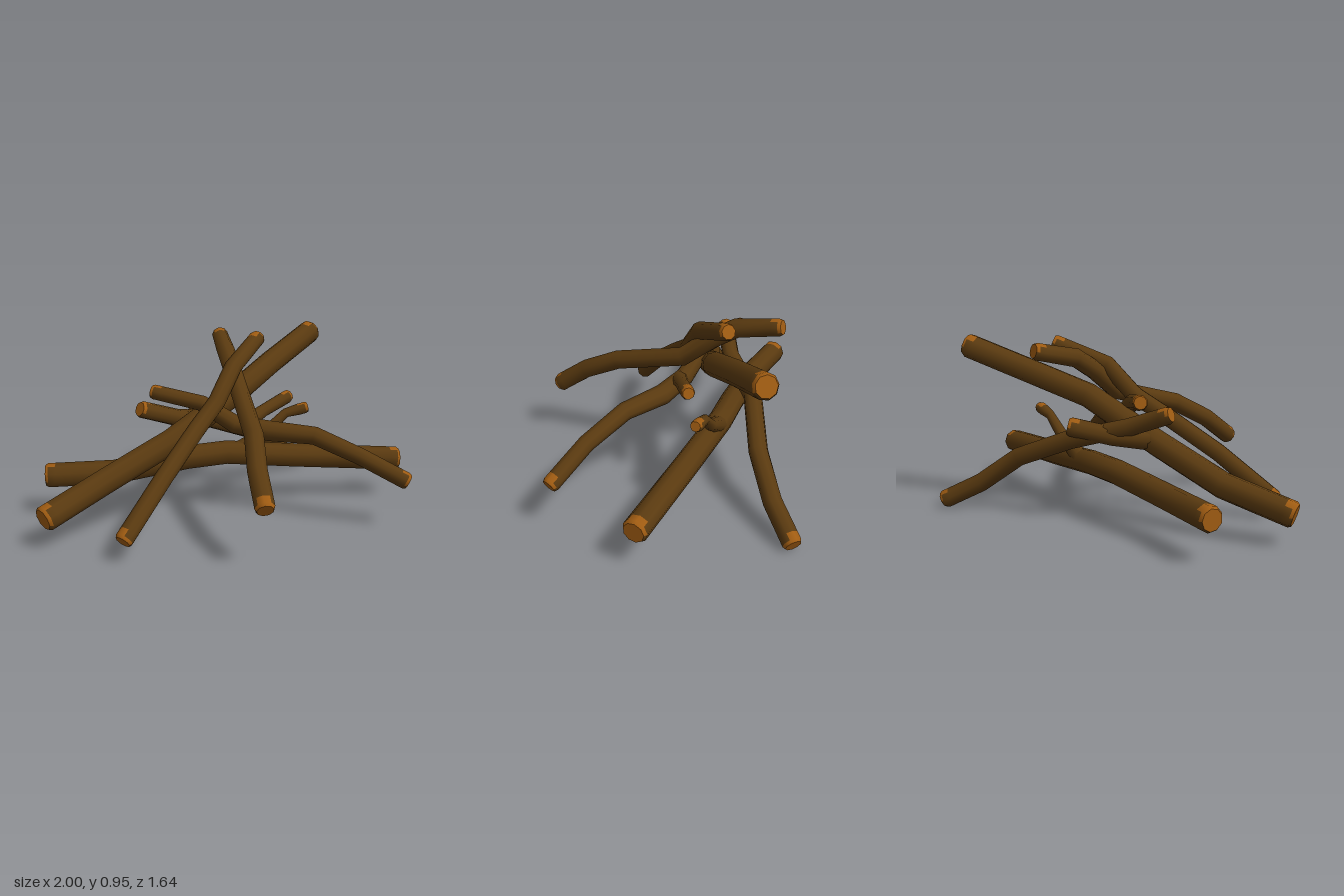
import * as THREE from 'three';

const SIDES = 9;

const bark = new THREE.MeshStandardMaterial({ color: 0x5a3a10 });
bark.name = 'bark';
const cutWood = new THREE.MeshStandardMaterial({ color: 0xa05c12 });
cutWood.name = 'cutWood';

// Inserts collar and bevel rings close to one end; `list` begins at that end.
function dressEnd(list) {
  const [end, next] = list;
  const dir = next.p.clone().sub(end.p).normalize();
  const at = (d, scale) => ({ p: end.p.clone().addScaledVector(dir, d), r: end.r * scale });
  return [at(0, 0.84), at(0.016, 1), at(0.055, 1), ...list.slice(1)];
}

// A kinked log: rings swept along points of [x, y, z, radius], with cut ends.
function makeLog(name, points, openStart = false) {
  let rings = points.map(([x, y, z, r]) => ({ p: new THREE.Vector3(x, y, z), r }));
  if (!openStart) rings = dressEnd(rings);
  rings = dressEnd(rings.reverse()).reverse();

  const last = rings.length - 1;
  const up = new THREE.Vector3(0, 1, 0);
  const position = [];
  const barkFaces = [];
  const cutFaces = [];
  const ringPoints = [];

  // Ring vertices, square to the averaged direction of the neighbouring segments
  rings.forEach(({ p, r }, i) => {
    const t = new THREE.Vector3();
    if (i > 0) t.add(p.clone().sub(rings[i - 1].p).normalize());
    if (i < last) t.add(rings[i + 1].p.clone().sub(p).normalize());
    t.normalize();
    const n = up.clone().cross(t).normalize();
    const b = t.clone().cross(n);
    for (let j = 0; j < SIDES; j++) {
      const a = (j / SIDES) * Math.PI * 2;
      const v = p.clone().addScaledVector(n, r * Math.cos(a)).addScaledVector(b, r * Math.sin(a));
      position.push(v.x, v.y, v.z);
      ringPoints.push(v);
    }
  });

  // Side faces; bark is chipped off the upper part of each collar
  for (let i = 0; i < last; i++) {
    const fromEnd = Math.min(openStart ? 9 : i, last - 1 - i);
    for (let j = 0; j < SIDES; j++) {
      const k = (j + 1) % SIDES;
      const a = i * SIDES + j, b = i * SIDES + k;
      const chipped = (fromEnd === 0 && j < 5) || (fromEnd === 1 && (j === 1 || j === 2));
      (chipped ? cutFaces : barkFaces).push(a, b, a + SIDES, b, b + SIDES, a + SIDES);
    }
  }

  // Cut end discs with their own vertices
  const addCap = (i, atEnd) => {
    const base = position.length / 3;
    const c = rings[i].p;
    position.push(c.x, c.y, c.z);
    for (let j = 0; j < SIDES; j++) position.push(...ringPoints[i * SIDES + j].toArray());
    for (let j = 0; j < SIDES; j++) {
      const a = base + 1 + j, b = base + 1 + ((j + 1) % SIDES);
      cutFaces.push(base, atEnd ? a : b, atEnd ? b : a);
    }
  };
  if (!openStart) addCap(0, false);
  addCap(last, true);

  const geometry = new THREE.BufferGeometry();
  geometry.setAttribute('position', new THREE.Float32BufferAttribute(position, 3));
  geometry.setIndex([...barkFaces, ...cutFaces]);
  geometry.addGroup(0, barkFaces.length, 0);
  geometry.addGroup(barkFaces.length, cutFaces.length, 1);
  geometry.computeVertexNormals();
  const mesh = new THREE.Mesh(geometry, [bark, cutWood]);
  mesh.name = name;
  return mesh;
}

export function createModel() {
  const group = new THREE.Group();
  group.name = 'branchPile';

  group.add(
    // Thick logs
    makeLog('baseLog', [
      [-0.97, 0.23, -0.1, 0.066], [-0.6, 0.24, -0.085, 0.066], [-0.2, 0.29, -0.14, 0.066],
      [0.02, 0.3, -0.17, 0.066], [0.4, 0.27, -0.165, 0.066], [1, 0.23, -0.155, 0.066],
    ]),
    makeLog('slantedLog', [
      [-0.96, 0.17, 0.4, 0.068], [-0.66, 0.28, 0.19, 0.068], [-0.3, 0.44, 0.04, 0.068],
      [0.07, 0.65, -0.15, 0.066], [0.3, 0.765, -0.37, 0.066], [0.58, 0.895, -0.62, 0.066],
    ]),
    // Thinner logs
    makeLog('rearLog', [
      [-0.46, 0.615, 0.02, 0.045], [-0.26, 0.53, -0.1, 0.047], [-0.04, 0.45, -0.32, 0.05],
      [0.25, 0.32, -0.47, 0.05], [0.42, 0.16, -0.62, 0.05], [0.565, 0.05, -0.785, 0.05],
    ]),
    makeLog('lengthwiseLog', [
      [0.08, 0.32, 0.8, 0.05], [0.07, 0.45, 0.62, 0.05], [0.085, 0.56, 0.41, 0.05],
      [0.075, 0.66, 0.03, 0.05], [0.045, 0.78, -0.12, 0.05], [0.025, 0.86, -0.25, 0.05],
      [0.02, 0.91, -0.49, 0.045],
    ]),
    makeLog('crossingLog', [
      [-0.575, 0.12, 0.61, 0.047], [-0.36, 0.36, 0.39, 0.047], [-0.18, 0.54, 0.19, 0.047],
      [-0.06, 0.65, 0.06, 0.047], [0.04, 0.81, -0.05, 0.047], [0.21, 0.925, -0.28, 0.045],
    ]),
    makeLog('sideLog', [
      [-0.39, 0.675, -0.115, 0.04], [-0.13, 0.63, 0.0, 0.042], [0.04, 0.52, 0.04, 0.05],
      [0.22, 0.49, 0.085, 0.055], [0.44, 0.485, 0.185, 0.048], [0.66, 0.395, 0.285, 0.045],
      [0.9, 0.27, 0.36, 0.045],
    ]),
    // Side branches growing out of the logs
    makeLog('baseBranch', [
      [0.08, 0.3, -0.18, 0.05], [0.26, 0.41, -0.21, 0.032], [0.36, 0.5, -0.225, 0.026],
      [0.485, 0.53, -0.23, 0.032],
    ], true),
    makeLog('slantedBranch', [
      [-0.3, 0.45, 0.05, 0.055], [-0.2, 0.48, -0.16, 0.05], [-0.075, 0.53, -0.35, 0.05],
    ], true),
    makeLog('sideBranch', [
      [0.08, 0.52, 0.05, 0.045], [0.2, 0.575, -0.02, 0.034], [0.36, 0.625, -0.135, 0.036],
    ], true),
  );
  return group;
}
